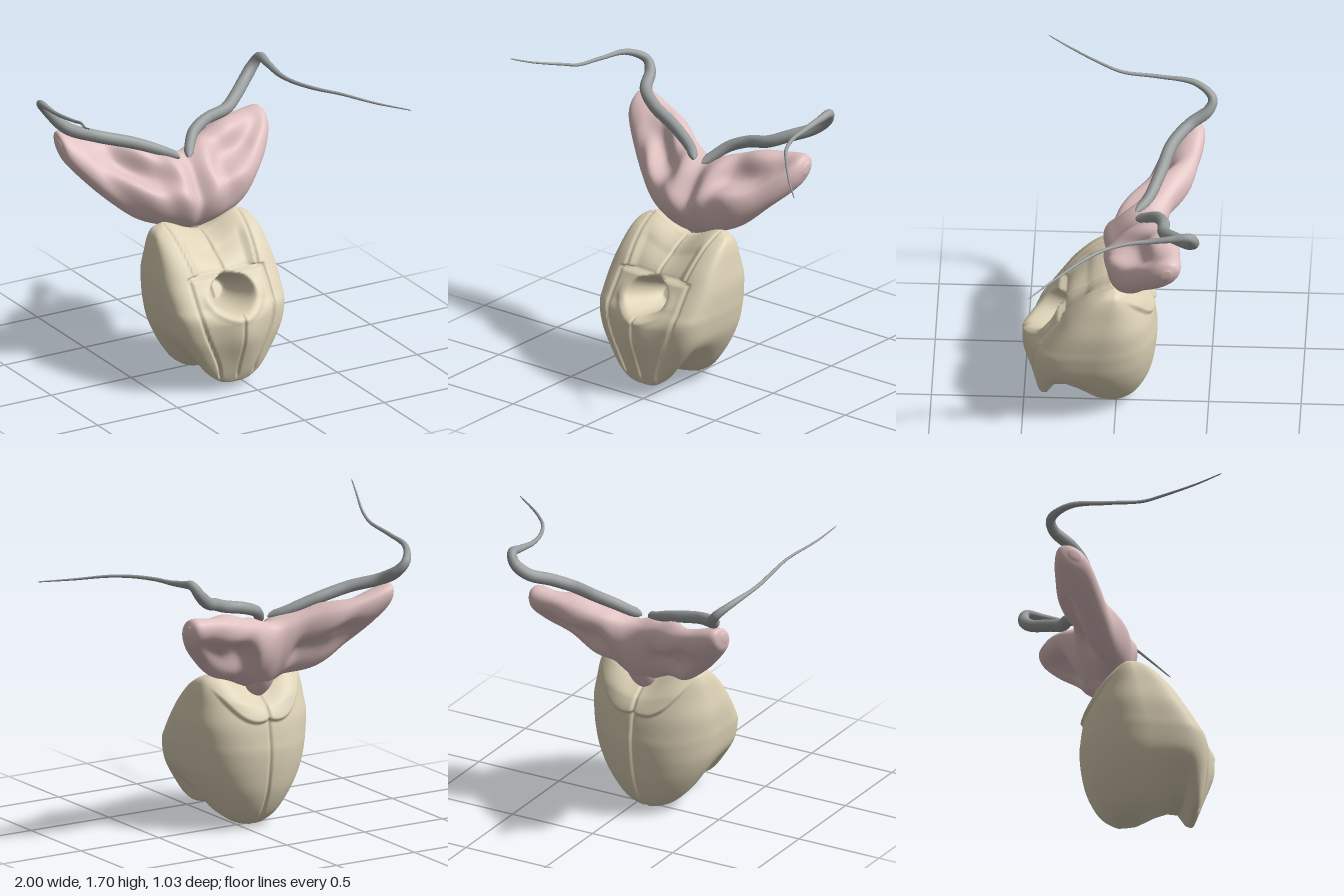
import * as THREE from 'three';

const { smoothstep } = THREE.MathUtils;
const CX = -0.08; // middle line of the body
const bell = (d, width) => Math.exp(-((d / width) ** 2));

// Smooth interpolation through rows of numbers, t from 0 to 1
function spline(rows) {
  const s = new THREE.CubicInterpolant(rows.map((_, i) => i), rows.flat(), rows[0].length, new Float32Array(rows[0].length));
  return t => Array.from(s.evaluate(t * (rows.length - 1)));
}

// Closed loops of points joined into a skin; point(i, j) returns [x, y, z]
function loft(rings, sides, point) {
  const pos = [], idx = [];
  for (let i = 0; i < rings; i++) {
    for (let j = 0; j < sides; j++) {
      pos.push(...point(i, j));
      if (i === rings - 1) continue;
      const a = i * sides + j, b = i * sides + (j + 1) % sides;
      idx.push(a, a + sides, b, b, a + sides, b + sides);
    }
  }
  const g = new THREE.BufferGeometry();
  g.setAttribute('position', new THREE.Float32BufferAttribute(pos, 3));
  g.setIndex(idx);
  g.computeVertexNormals();
  return g;
}

// Height of the underside along z: a notch separates the front keel from the belly
const FLOOR = [[-1, 0], [0, 0], [0.1, 0.03], [0.2, 0.09], [0.27, 0.12], [0.33, 0.115], [0.37, 0.05], [0.4, 0.03], [1, 0.03]];
function floorAt(z) {
  const k = FLOOR.findIndex(p => p[0] > z);
  const [a, b] = [FLOOR[k - 1], FLOOR[k]];
  return a[1] + (b[1] - a[1]) * (z - a[0]) / (b[0] - a[0]);
}

function shellGeometry() {
  // height, half width, back z, front z
  const section = spline([
    [0, 0.05, -0.03, 0.395], [0.02, 0.13, -0.07, 0.41], [0.08, 0.2, -0.13, 0.425],
    [0.2, 0.275, -0.185, 0.435], [0.32, 0.328, -0.21, 0.445], [0.43, 0.35, -0.22, 0.44],
    [0.5, 0.355, -0.215, 0.4], [0.6, 0.355, -0.2, 0.33], [0.7, 0.338, -0.165, 0.26],
    [0.79, 0.318, -0.12, 0.17], [0.84, 0.29, -0.07, 0.09], [0.865, 0.23, -0.02, 0.03],
  ]);
  const rings = 150, sides = 320;
  return loft(rings, sides, (i, j) => {
    const t = THREE.MathUtils.clamp((i - 1) / (rings - 3), 0, 1);
    let [y, w, zb, zf] = section(t);
    const zm = (zb + zf) / 2, half = (zf - zb) / 2;
    const a = j / sides * Math.PI * 2, c = Math.cos(a), s = Math.sin(a);
    const n = s > 0 ? 4.8 : 2.3;
    const r = (Math.abs(c) ** n + Math.abs(s) ** n) ** (-1 / n);
    let x = w * c * r, z = zm + half * s * r;
    if (i === 0) x = 0; // close the underside
    if (i === rings - 1) z = zm; // close the top
    const ax = Math.abs(x), y0 = y;
    y += floorAt(z) * (1 - smoothstep(y0, 0, 0.36));
    // Valley between the two upper humps
    y -= 0.08 * smoothstep(y0, 0.6, 0.86) * (1 - smoothstep(ax, 0, 0.23));

    if (s > 0) {
      const front = smoothstep(s, 0, 0.35);
      const seam = y0 > 0.635 ? 0.2 + 0.13 * (y0 - 0.63) : 0.1 + 0.13 * smoothstep(y0, 0, 0.5);
      // Keel down the lower plates and recessed upper plates
      z += front * 0.065 * bell(x, 0.13) * smoothstep(y0, 0, 0.36) * (1 - smoothstep(y0, 0.4, 0.5));
      z -= front * 0.03 * smoothstep(y0, 0.62, 0.65) * (1 - smoothstep(y0, 0.76, 0.85)) * (1 - smoothstep(ax, seam - 0.06, seam));
      // Seams between plates
      let groove = Math.max(bell(x, 0.007), bell(ax - seam, 0.008));
      if (ax < seam) groove = Math.max(groove, bell(y0 - 0.635, 0.008));
      z -= front * 0.017 * groove * smoothstep(y0, 0.02, 0.08);
      // Round mouth, a funnel sinking back and down, with a soft lower lip
      const d = Math.hypot(x / 0.135, (y0 - 0.54) / 0.095);
      const sink = front * (1 - smoothstep(d, 0.5, 1.04));
      z += front * 0.012 * bell(d - 1.2, 0.18) * (1 - smoothstep(y0, 0.5, 0.6));
      z -= 0.24 * sink;
      y -= 0.06 * sink;
    } else {
      // Back seam and the pair of small plates under the neck
      const edge = 0.6 + 4 * (ax - 0.06) ** 2;
      const back = smoothstep(-s, 0, 0.3);
      z += back * 0.013 * bell(x, 0.009);
      z -= back * 0.02 * smoothstep(y0, edge, edge + 0.025) * (1 - smoothstep(y0, 0.72, 0.82));
    }
    return [CX + x, y, z];
  });
}

function bodyGeometry() {
  // x, lower edge y and z, upper edge y and z, half thickness
  const section = spline([
    [-0.745, 1.26, -0.33, 1.3, -0.38, 0.02], [-0.71, 1.18, -0.27, 1.325, -0.44, 0.065],
    [-0.55, 1.0, -0.16, 1.275, -0.42, 0.09], [-0.4, 0.88, -0.08, 1.235, -0.37, 0.105],
    [-0.22, 0.825, -0.01, 1.18, -0.26, 0.11], [-0.08, 0.78, -0.04, 1.16, -0.22, 0.105],
    [0.06, 0.83, 0, 1.19, -0.29, 0.11], [0.22, 0.9, -0.02, 1.235, -0.33, 0.105],
    [0.38, 1.04, -0.11, 1.26, -0.35, 0.09], [0.47, 1.14, -0.2, 1.265, -0.35, 0.07],
    [0.505, 1.2, -0.27, 1.24, -0.31, 0.02],
  ]);
  const rings = 110, sides = 72;
  return loft(rings, sides, (i, j) => {
    const t = THREE.MathUtils.clamp((i - 1) / (rings - 3), 0, 1);
    const [x, by, bz, ty, tz, thick] = section(t);
    const end = i === 0 || i === rings - 1 ? 0 : 1;
    const len = Math.hypot(ty - by, tz - bz), ay = (ty - by) / len, az = (tz - bz) / len;
    const a = j / sides * Math.PI * 2;
    const along = -Math.cos(a), across = Math.sin(a);
    // Hollows in each wing, with a few soft folds
    const off = Math.abs(x - CX);
    const hollow = smoothstep(off, 0.08, 0.2) * (1 - smoothstep(off, 0.36, 0.56));
    const fold = 0.12 * Math.sin(x * 21 + along * 4) * hollow;
    const depth = across > 0 ? 0.65 : 0.75;
    let k = across * thick * (1 - depth * hollow * bell(along - 0.1, 0.42) + fold);
    if (across > 0) {
      // Fuller front, strongest low down, with two lobes beside a shallow furrow
      const full = 0.04 + 0.035 * bell(along + 0.55, 0.4);
      k += across * (full * (1 - smoothstep(off, 0.25, 0.5)) + 0.015 * bell(off - 0.09, 0.06) - 0.025 * bell(off, 0.04));
    } else {
      // Neck column down the back and a mound inside each hollow
      k += across * 0.02 * bell(off, 0.07) * (1 - along) / 2;
      k += across * 0.03 * bell(off - 0.32, 0.08) * bell(along - 0.1, 0.2);
    }
    k *= end;
    const h = along * len / 2 * end;
    return [x, (by + ty) / 2 + ay * h - az * k, (bz + tz) / 2 + az * h + ay * k];
  });
}

// Tube whose radius follows a list of values along its length
function taperedTube(points, radii) {
  const curve = new THREE.CatmullRomCurve3(points.map(p => new THREE.Vector3(...p)));
  const n = 120, sides = 12;
  const g = new THREE.TubeGeometry(curve, n, 1, sides);
  const p = g.attributes.position, v = new THREE.Vector3();
  for (let i = 0; i <= n; i++) {
    const c = curve.getPointAt(i / n);
    const f = i / n * (radii.length - 1), k = Math.min(Math.floor(f), radii.length - 2);
    let r = THREE.MathUtils.lerp(radii[k], radii[k + 1], f - k);
    r *= Math.sqrt(Math.min(1, i / 3)) * (i === n ? 0 : 1); // rounded root, closed tip
    for (let j = 0; j <= sides; j++) {
      const q = i * (sides + 1) + j;
      v.fromBufferAttribute(p, q).sub(c).multiplyScalar(r).add(c);
      p.setXYZ(q, v.x, v.y, v.z);
    }
  }
  return g;
}

export function createModel() {
  const model = new THREE.Group();
  const shellMat = new THREE.MeshStandardMaterial({ color: 0xded3b7 });
  const fleshMat = new THREE.MeshStandardMaterial({ color: 0xe0c1c1 });
  const feelerMat = new THREE.MeshStandardMaterial({ color: 0x9a9e9e });
  const add = (name, geometry, material) => {
    const mesh = new THREE.Mesh(geometry, material);
    mesh.name = name;
    model.add(mesh);
    return mesh;
  };

  add('shell', shellGeometry(), shellMat);

  // Soft winged body and the neck that joins it to the shell
  add('wingedBody', bodyGeometry(), fleshMat);
  const neck = add('neck', new THREE.SphereGeometry(1, 32, 20), fleshMat);
  neck.position.set(CX, 0.9, -0.115);
  neck.scale.set(0.09, 0.18, 0.085);
  neck.rotation.x = -0.3;

  // Long feelers, thick at the root and thread-like past the bend
  const radii = [0.026, 0.032, 0.034, 0.034, 0.034, 0.02, 0.012, 0.01, 0.008, 0.006, 0.003];
  add('rightFeeler', taperedTube([
    [-0.13, 1.17, -0.1], [-0.2, 1.2, -0.16], [-0.35, 1.26, -0.22], [-0.55, 1.32, -0.28],
    [-0.68, 1.36, -0.37], [-0.73, 1.42, -0.47], [-0.77, 1.47, -0.49], [-0.83, 1.525, -0.4],
    [-0.855, 1.545, -0.2], [-0.855, 1.57, 0], [-0.875, 1.6, 0.1], [-0.95, 1.65, 0.28], [-1, 1.7, 0.41],
  ], radii), feelerMat);
  add('leftFeeler', taperedTube([
    [-0.08, 1.16, -0.1], [-0.04, 1.2, -0.16], [0.02, 1.25, -0.22], [0.12, 1.29, -0.26],
    [0.25, 1.32, -0.27], [0.35, 1.36, -0.33], [0.45, 1.4, -0.41], [0.52, 1.46, -0.44],
    [0.55, 1.51, -0.42], [0.55, 1.5, -0.33], [0.55, 1.48, -0.2], [0.57, 1.475, -0.08],
    [0.63, 1.47, 0.05], [0.72, 1.46, 0.16], [0.85, 1.43, 0.3], [1, 1.405, 0.44],
  ], radii), feelerMat);
  return model;
}
